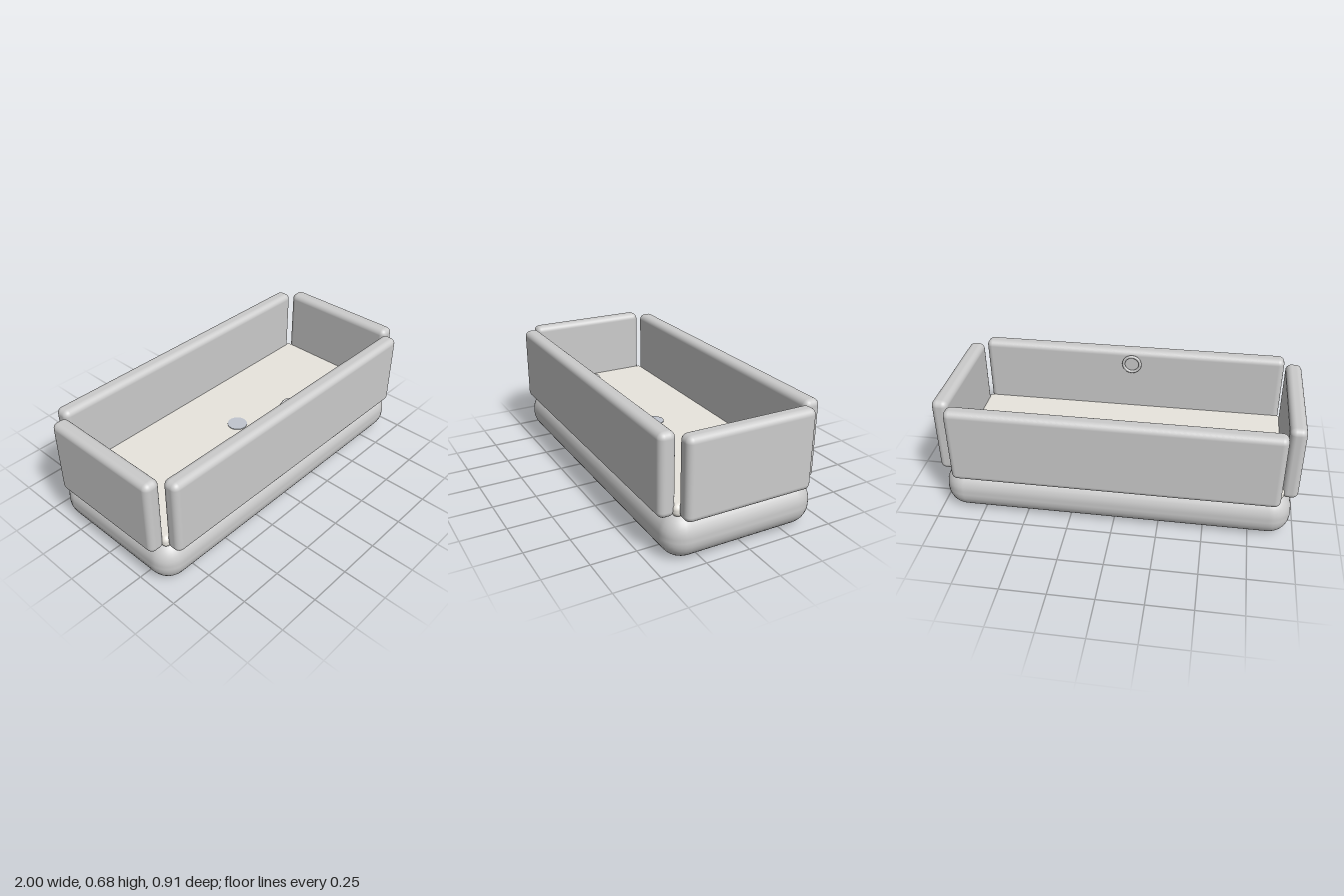
import * as THREE from 'three';
import { RoundedBoxGeometry } from 'three/addons/geometries/RoundedBoxGeometry.js';

export function createModel() {
  const model = new THREE.Group();
  model.name = 'bathtub';
  const grey = new THREE.MeshStandardMaterial({ color: 0xcccccc });
  const floorColor = new THREE.MeshStandardMaterial({ color: 0xe8e5de });
  const metal = new THREE.MeshStandardMaterial({ color: 0xc0c5ce });

  const add = (name, geometry, material, x, y, z) => {
    const mesh = new THREE.Mesh(geometry, material);
    mesh.name = name;
    mesh.position.set(x, y, z);
    model.add(mesh);
    return mesh;
  };
  const slab = (w, h, d, r) => new RoundedBoxGeometry(w, h, d, 4, r);

  // Pillow-shaped base and the inner floor resting on it
  add('base', slab(1.95, 0.26, 0.87, 0.12), grey, 0, 0.13, 0);
  add('floor', slab(1.85, 0.07, 0.77, 0.03), floorColor, 0, 0.272, 0);

  // Four separate rounded wall panels
  const wallHeight = 0.443, wallY = 0.46, thickness = 0.092;
  for (const side of [1, -1]) {
    add(side > 0 ? 'frontWall' : 'backWall',
      slab(1.81, wallHeight, thickness, 0.034), grey, 0, wallY, side * 0.411);
    add(side > 0 ? 'leftWall' : 'rightWall',
      slab(thickness, wallHeight, 0.726, 0.034), grey, side * 0.954, wallY, 0);
  }

  // Drain disc in the floor
  add('drain', new THREE.CylinderGeometry(0.057, 0.057, 0.01, 32), metal, 0, 0.306, 0);

  // Overflow ring on the inside of the front wall
  add('overflowRing', new THREE.TorusGeometry(0.05, 0.009, 12, 32), grey, 0, 0.6, 0.354);

  return model;
}
